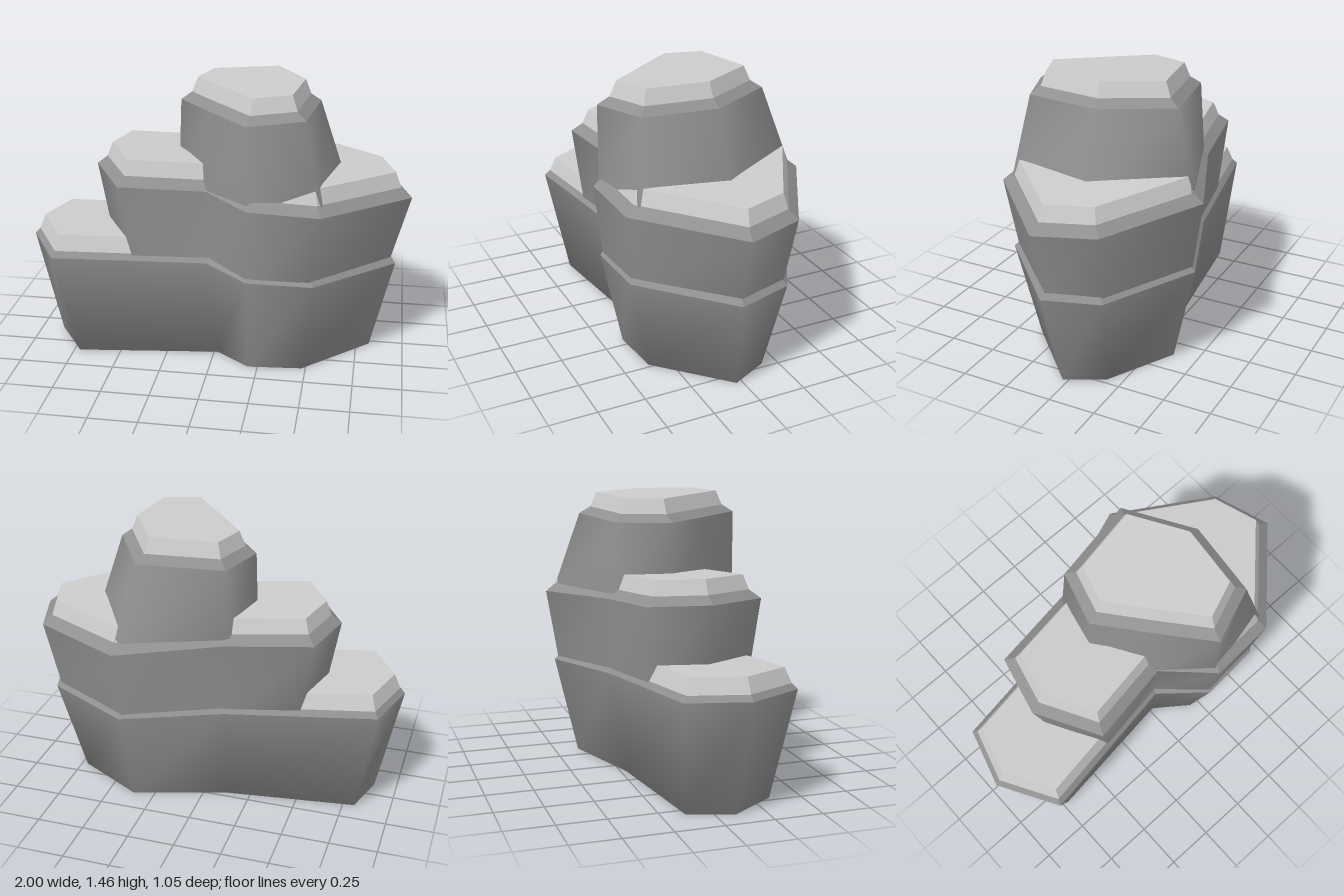
import * as THREE from 'three';

const bodyMaterial = new THREE.MeshStandardMaterial({ color: 0x909090 });
const capMaterial = new THREE.MeshStandardMaterial({ color: 0xcccccc });

// Shrinks an [x, z] outline by a distance, with mitred corners.
function inset(outline, d) {
  const n = outline.length;
  const normal = (a, b) => {
    const dx = b[0] - a[0], dz = b[1] - a[1], l = Math.hypot(dx, dz);
    return [-dz / l, dx / l];
  };
  return outline.map((p, i) => {
    const n1 = normal(outline[(i + n - 1) % n], p);
    const n2 = normal(p, outline[(i + 1) % n]);
    const k = d / (1 + n1[0] * n2[0] + n1[1] * n2[1]);
    return [p[0] + (n1[0] + n2[0]) * k, p[1] + (n1[1] + n2[1]) * k];
  });
}

// Lifts an outline onto a plane that tilts along x.
const ring = (outline, h, slope = 0) => outline.map(([x, z]) => [x, h + slope * x, z]);

// Side faces between two rings, plus an optional lid on either one.
function loft(lower, upper, { bottom = false, top = false, smooth = false }) {
  const n = lower.length, index = [];
  for (let a = 0; a < n; a++) {
    const b = (a + 1) % n;
    index.push(b, a, a + n, b, a + n, b + n);
  }
  const lid = (points, start, up) => {
    const pts = points.map(([x, , z]) => new THREE.Vector2(x, -z));
    for (const [a, b, c] of THREE.ShapeUtils.triangulateShape(pts, [])) {
      const ccw = THREE.ShapeUtils.area([pts[a], pts[b], pts[c]]) > 0;
      index.push(...(ccw === up ? [a, b, c] : [a, c, b]).map((k) => start + k));
    }
  };
  if (bottom) lid(lower, 0, false);
  if (top) lid(upper, n, true);
  const indexed = new THREE.BufferGeometry();
  indexed.setAttribute('position', new THREE.Float32BufferAttribute([lower, upper].flat(2), 3));
  indexed.setIndex(index);
  const geometry = smooth ? indexed : indexed.toNonIndexed();
  geometry.computeVertexNormals();
  return geometry;
}

// One rock tier: a smooth flaring wall, a dark chamfered rim and a pale bevelled cap.
function tier(name, { base, baseY, rim, rimY, slope, bevel, bottom = false }) {
  const group = new THREE.Group();
  group.name = name;
  const [in1, up1, in2, up2] = bevel;
  const foot = ring(base, baseY);
  const edge = ring(rim, rimY, slope);
  const shoulder = ring(inset(rim, in1), rimY + up1, slope);
  const crown = ring(inset(rim, in2), rimY + up2, slope);

  const add = (part, geometry, material) => {
    const mesh = new THREE.Mesh(geometry, material);
    mesh.name = name + part;
    group.add(mesh);
  };
  add('Wall', loft(foot, edge, { bottom, smooth: true }), bodyMaterial);
  add('Rim', loft(edge, shoulder, {}), bodyMaterial);
  add('Cap', loft(shoulder, crown, { top: true }), capMaterial);
  return group;
}

export function createModel() {
  const model = new THREE.Group();
  model.name = 'steppedRock';

  // Outlines run from the right end along the back, then return along the front.
  model.add(tier('lowerRock', {
    base: [[-0.88, 0.1], [-0.81, -0.13], [-0.11, -0.22], [0.36, -0.37], [0.72, -0.17],
      [0.82, 0.03], [0.48, 0.36], [0.2, 0.385], [0.02, 0.25], [-0.72, 0.34]],
    baseY: 0, bottom: true,
    rim: [[-1, 0.13], [-0.91, -0.18], [-0.13, -0.31], [0.38, -0.49], [0.85, -0.22],
      [0.935, 0.07], [0.53, 0.475], [0.2, 0.5], [-0.03, 0.31], [-0.82, 0.435]],
    rimY: 0.542, slope: -0.039, bevel: [0.025, 0.03, 0.055, 0.11],
  }));

  model.add(tier('middleRock', {
    base: [[-0.57, 0.06], [-0.5, -0.22], [-0.11, -0.29], [0.37, -0.465], [0.82, -0.21],
      [0.9, 0.06], [0.51, 0.455], [0.2, 0.48], [-0.02, 0.285], [-0.4, 0.345]],
    baseY: 0.5,
    rim: [[-0.655, 0.06], [-0.58, -0.25], [-0.13, -0.325], [0.39, -0.53], [0.9, -0.235],
      [1, 0.07], [0.56, 0.505], [0.2, 0.525], [-0.03, 0.31], [-0.47, 0.385]],
    rimY: 0.936, slope: -0.06, bevel: [0.05, 0.045, 0.077, 0.122],
  }));

  model.add(tier('upperRock', {
    base: [[-0.225, 0], [-0.16, -0.29], [0.4, -0.485], [0.66, -0.02], [0.57, 0.445],
      [0.2, 0.495], [-0.035, 0.3]],
    baseY: 0.92,
    rim: [[-0.21, 0], [-0.13, -0.275], [0.31, -0.355], [0.515, -0.01], [0.47, 0.38],
      [0.19, 0.49], [-0.03, 0.225]],
    rimY: 1.335, slope: 0.03, bevel: [0.05, 0.038, 0.078, 0.115],
  }));

  return model;
}
